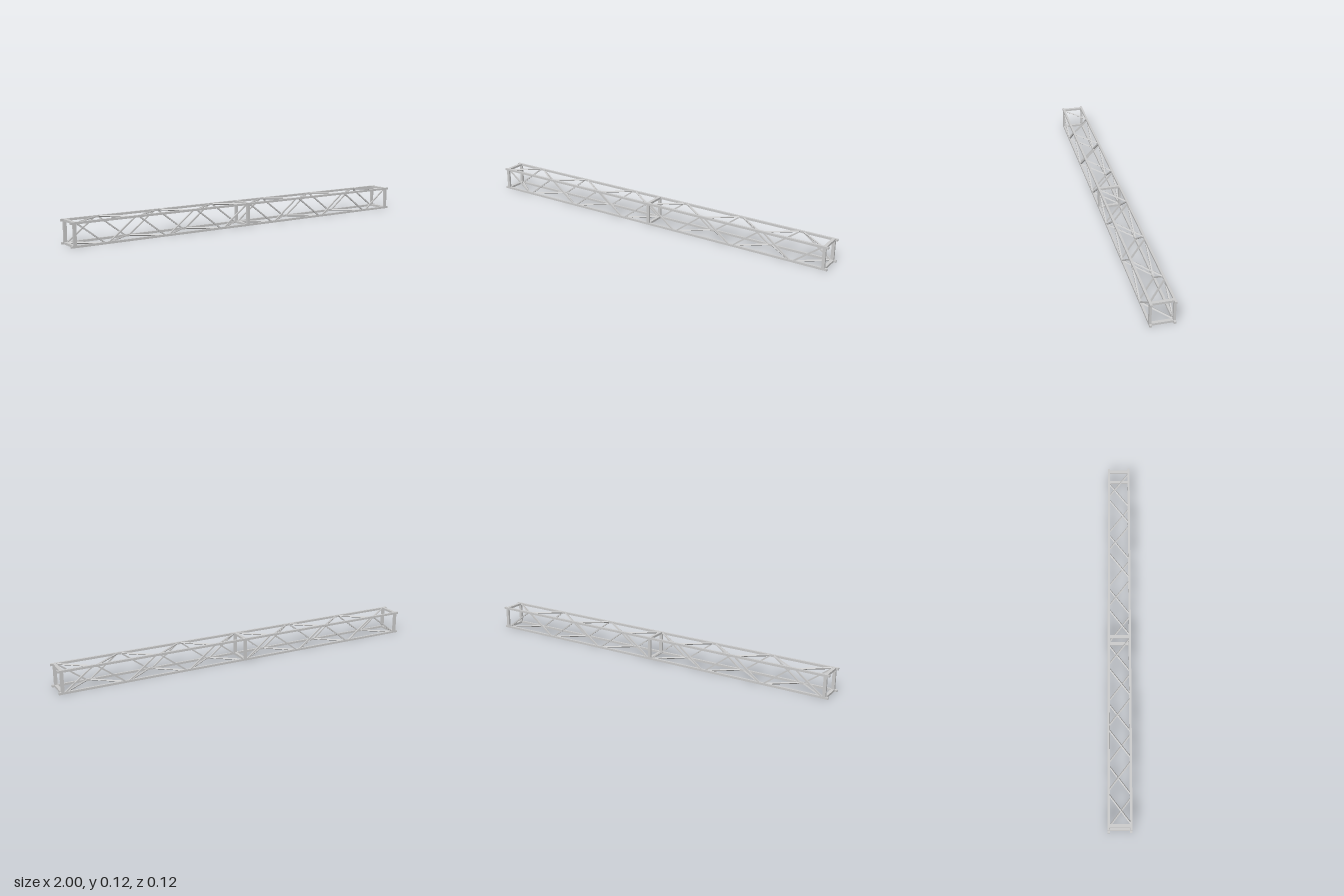
import * as THREE from 'three';

const MID_Y = 0.0645;   // height of the truss axis
const HALF = 0.0553;    // axis to chord centre
const CHORD = 0.011;    // chord thickness
const BAYS = 6;         // bays in each half

export function createModel() {
  const truss = new THREE.Group();
  truss.name = 'boxTruss';
  const material = new THREE.MeshStandardMaterial({ color: 0xcccccc });

  const add = (geometry, name, parent = truss) => {
    const mesh = new THREE.Mesh(geometry, material);
    mesh.name = name;
    parent.add(mesh);
    return mesh;
  };

  // Square brace between two points
  const brace = (a, b, name, parent) => {
    const dir = b.clone().sub(a);
    const mesh = add(new THREE.BoxGeometry(0.007, dir.length(), 0.007), name, parent);
    mesh.position.copy(a).add(b).multiplyScalar(0.5);
    mesh.quaternion.setFromUnitVectors(new THREE.Vector3(0, 1, 0), dir.normalize());
  };

  // Four long chords
  for (const sy of [-1, 1]) for (const sz of [-1, 1]) {
    add(new THREE.BoxGeometry(2, CHORD, CHORD), 'chord')
      .position.set(0, MID_Y + sy * HALF, sz * HALF);
  }

  // Square frames at both ends and the middle
  const frames = [-0.98, -0.005, 0.98];
  const span = 2 * HALF - CHORD;
  for (const x of frames) {
    const frame = new THREE.Group();
    frame.name = 'crossFrame';
    truss.add(frame);
    for (const s of [-1, 1]) {
      add(new THREE.BoxGeometry(0.016, span, CHORD), 'framePost', frame)
        .position.set(x, MID_Y, s * HALF);
      add(new THREE.BoxGeometry(0.016, CHORD, span), 'frameRail', frame)
        .position.set(x, MID_Y + s * HALF, 0);
    }
  }

  // Zigzag bracing: opposite faces run in opposite phase
  const faces = [
    { name: 'frontBrace', start: 1, at: (x, s) => new THREE.Vector3(x, MID_Y + s * HALF, HALF) },
    { name: 'backBrace', start: -1, at: (x, s) => new THREE.Vector3(x, MID_Y + s * HALF, -HALF) },
    { name: 'topBrace', start: 1, at: (x, s) => new THREE.Vector3(x, MID_Y + HALF, s * HALF) },
    { name: 'bottomBrace', start: -1, at: (x, s) => new THREE.Vector3(x, MID_Y - HALF, s * HALF) },
  ];
  for (const { name, start, at } of faces) {
    const lacing = new THREE.Group();
    lacing.name = name + 's';
    truss.add(lacing);
    for (let half = 0; half < 2; half++) {
      const x0 = frames[half];
      const bay = (frames[half + 1] - x0) / BAYS;
      for (let i = 0; i < BAYS; i++) {
        const s = i % 2 ? -start : start;
        brace(at(x0 + i * bay + 0.009, s), at(x0 + (i + 1) * bay - 0.009, -s), name, lacing);
      }
    }
  }
  return truss;
}
